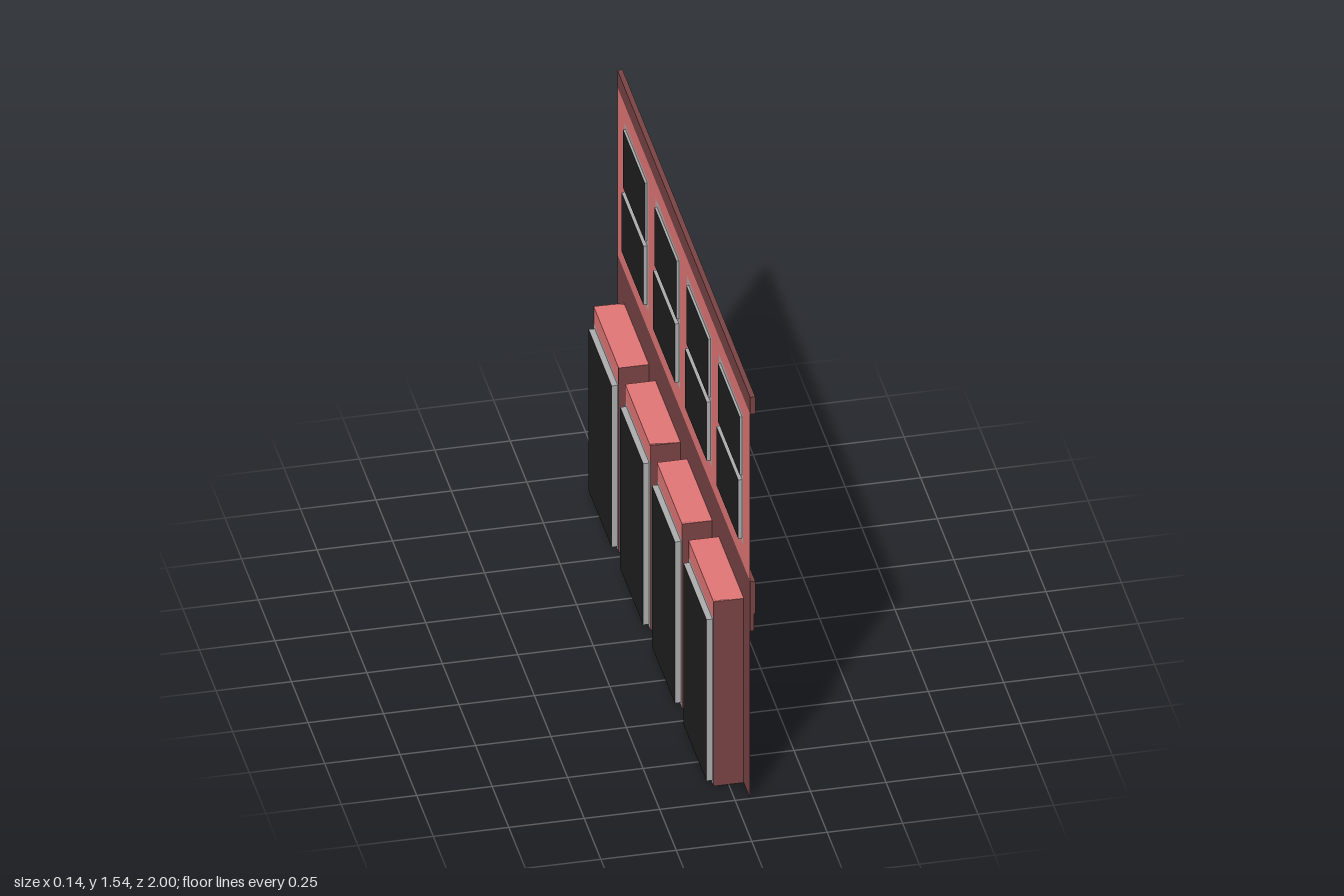
import * as THREE from 'three';

const mat = (color) => new THREE.MeshStandardMaterial({ color, side: THREE.DoubleSide });

export function createModel() {
  const wallRed = mat(0xdf7474), darkRed = mat(0x774243), grey = mat(0xaaaaaa), glass = mat(0x1e1e1e);
  const centres = [-0.714, -0.239, 0.239, 0.714];
  const HALF = 0.1885;      // half width of a shop recess
  const FRONT = 0.05;       // wall plane
  const BACK = -0.05;       // back of the recesses
  const SPRING = 0.645;     // underside of the capitals
  const HEAD = 0.71;        // top of the recesses

  // The facade is laid out facing +z, then turned to face +x.
  const facade = new THREE.Group();
  facade.name = 'facade';
  facade.rotation.y = Math.PI / 2;

  const add = (parent, name, geometry, material) => {
    const m = new THREE.Mesh(geometry, material);
    m.name = name;
    parent.add(m);
    return m;
  };
  const box = (parent, name, material, x0, x1, y0, y1, z0, z1) =>
    add(parent, name, new THREE.BoxGeometry(x1 - x0, y1 - y0, z1 - z0), material)
      .position.set((x0 + x1) / 2, (y0 + y1) / 2, (z0 + z1) / 2);

  // Thin surfaces: upright facing front, upright facing sideways, level
  const faceZ = (parent, name, material, x0, x1, y0, y1, z) =>
    add(parent, name, new THREE.PlaneGeometry(x1 - x0, y1 - y0), material)
      .position.set((x0 + x1) / 2, (y0 + y1) / 2, z);
  const faceX = (parent, name, material, x, y0, y1, z0, z1) =>
    add(parent, name, new THREE.PlaneGeometry(z1 - z0, y1 - y0).rotateY(Math.PI / 2), material)
      .position.set(x, (y0 + y1) / 2, (z0 + z1) / 2);
  const faceY = (parent, name, material, x0, x1, y, z0, z1) =>
    add(parent, name, new THREE.PlaneGeometry(x1 - x0, z1 - z0).rotateX(-Math.PI / 2), material)
      .position.set((x0 + x1) / 2, y, (z0 + z1) / 2);

  const outline = (Type, x0, x1, y0, y1) => new Type([
    [x0, y0], [x1, y0], [x1, y1], [x0, y1],
  ].map(([x, y]) => new THREE.Vector2(x, y)));
  const pierced = (outer, holes) => {
    const s = outline(THREE.Shape, ...outer);
    s.holes = holes.map((h) => outline(THREE.Path, ...h));
    return s;
  };

  // A pane set back behind its frame, with the four sides of the setback
  const pane = (parent, name, half, y0, y1, zFront, zGlass) => {
    faceZ(parent, name + 'Glass', glass, -half, half, y0, y1, zGlass);
    for (const s of [-1, 1]) faceX(parent, name + 'Jamb', grey, s * half, y0, y1, zGlass, zFront);
    for (const y of [y0, y1]) faceY(parent, name + 'Rail', grey, -half, half, y, zGlass, zFront);
  };

  // Upper wall with window openings
  const openings = centres.map((c) => [c - 0.18, c + 0.18, 0.912, 1.408]);
  add(facade, 'upperWall', new THREE.ShapeGeometry(pierced([-1, 1, 0.835, 1.48], openings)), wallRed)
    .position.z = FRONT;

  // Horizontal mouldings
  box(facade, 'cornice', darkRed, -1, 1, 1.48, 1.545, FRONT, 0.067);
  box(facade, 'shopFascia', darkRed, -1, 1, HEAD, 0.835, FRONT, 0.067);

  centres.forEach((c) => {
    // Upper sash window
    const win = new THREE.Group();
    win.name = 'sashWindow';
    win.position.x = c;
    facade.add(win);
    const trim = pierced([-0.1875, 0.1875, 0.905, 1.415], [[-0.174, 0.174, 0.917, 1.403]]);
    add(win, 'windowTrim', new THREE.ExtrudeGeometry(trim, { depth: 0.008, bevelEnabled: false }), grey)
      .position.z = FRONT;
    const frame = pierced([-0.18, 0.18, 0.912, 1.408],
      [[-0.164, 0.164, 0.926, 1.152], [-0.164, 0.164, 1.17, 1.394]]);
    add(win, 'windowFrame', new THREE.ShapeGeometry(frame), grey).position.z = FRONT;
    pane(win, 'lowerSash', 0.164, 0.926, 1.152, FRONT, 0.037);
    pane(win, 'upperSash', 0.164, 1.17, 1.394, FRONT, 0.042);

    // Recessed shop front
    const shop = new THREE.Group();
    shop.name = 'shopFront';
    shop.position.x = c;
    facade.add(shop);
    const shopFrame = pierced([-HALF, HALF, 0, SPRING], [[-0.173, 0.173, 0.013, 0.634]]);
    add(shop, 'shopFrame', new THREE.ShapeGeometry(shopFrame), grey).position.z = BACK;
    pane(shop, 'shop', 0.173, 0.013, 0.634, BACK, -0.07);
    faceZ(shop, 'recessHeader', wallRed, -HALF, HALF, SPRING, HEAD, BACK);
    faceY(shop, 'recessCeiling', wallRed, -HALF, HALF, HEAD, BACK, FRONT);
    faceY(shop, 'recessFloor', grey, -HALF, HALF, 0, BACK, FRONT);
    for (const s of [-1, 1]) {
      faceX(shop, 'pillarReturn', darkRed, s * HALF, 0, SPRING, BACK, FRONT);
      const inner = HALF - 0.012;
      box(shop, 'capitalReturn', darkRed, s > 0 ? inner : -HALF, s > 0 ? HALF : -inner,
        SPRING, HEAD, BACK, FRONT);
    }
  });

  // Pillar faces and capitals between the recesses
  for (let i = 0; i <= centres.length; i++) {
    const first = i === 0, last = i === centres.length;
    const x0 = first ? -1 : centres[i - 1] + HALF;
    const x1 = last ? 1 : centres[i] - HALF;
    faceZ(facade, 'pillar', darkRed, x0, x1, 0, SPRING, FRONT);
    box(facade, 'capital', darkRed, first ? x0 : x0 - 0.012, last ? x1 : x1 + 0.012,
      SPRING, HEAD, FRONT, 0.062);
  }

  const model = new THREE.Group();
  model.name = 'shopFacade';
  model.add(facade);
  return model;
}
